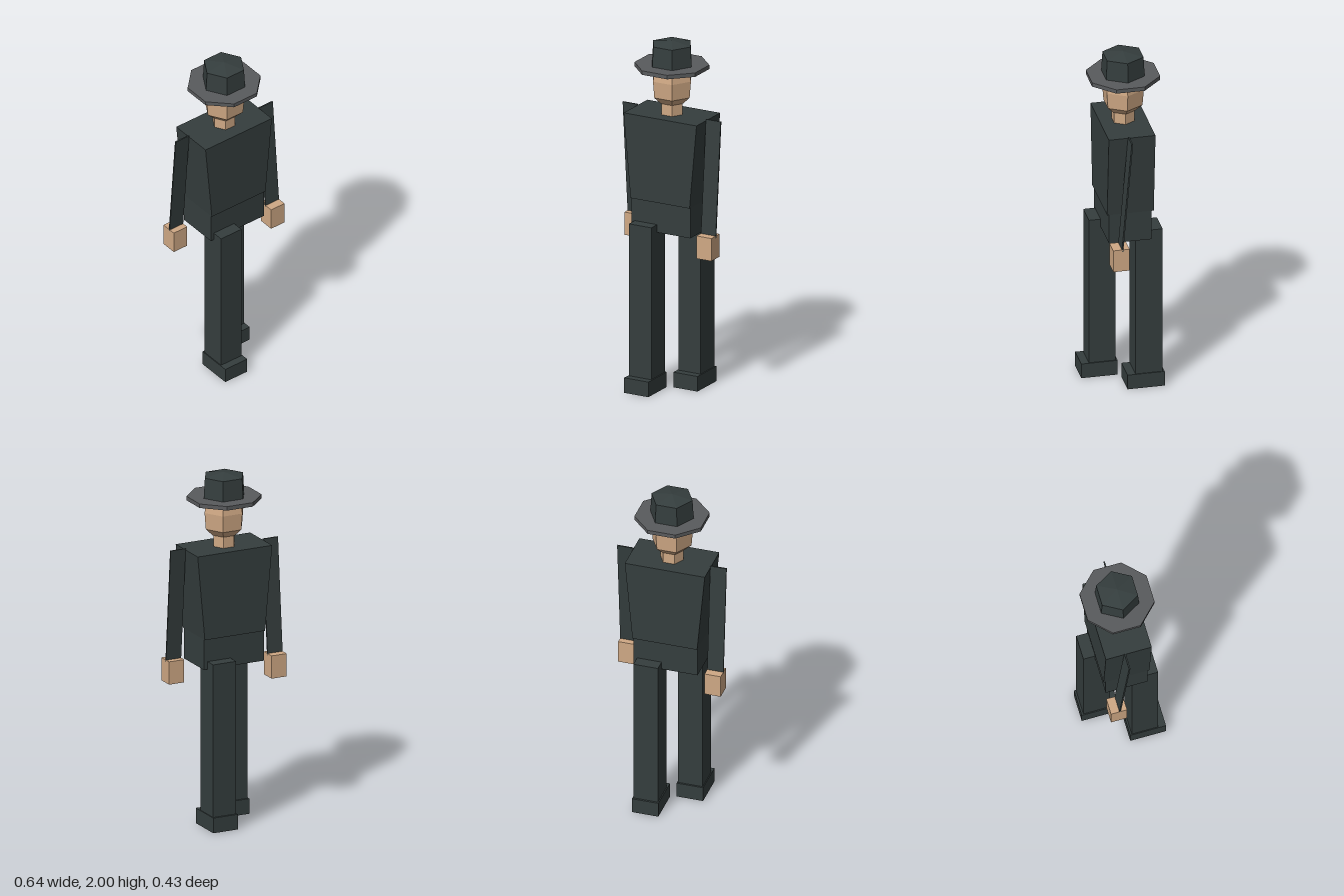
import * as THREE from 'three';

const mat = (name, color) => {
  const m = new THREE.MeshStandardMaterial({ color });
  m.name = name;
  return m;
};

export function createModel() {
  const cloth = mat('dark cloth', 0x353e3e);
  const skin = mat('skin', 0xd0a985);
  const felt = mat('grey felt', 0x595b5d);
  const root = new THREE.Group();
  root.name = 'manWithHat';

  const add = (name, geometry, material) => {
    const flat = geometry.index ? geometry.toNonIndexed() : geometry;
    flat.computeVertexNormals();
    const mesh = new THREE.Mesh(flat, material);
    mesh.name = name;
    root.add(mesh);
    return mesh;
  };

  // box from its minimum and maximum on each axis
  const block = (x0, x1, y0, y1, z0, z1) => {
    const g = new THREE.BoxGeometry(x1 - x0, y1 - y0, z1 - z0);
    return g.translate((x0 + x1) / 2, (y0 + y1) / 2, (z0 + z1) / 2);
  };

  // jacket narrows towards the waist
  const torso = block(-0.23, 0.23, 1.095, 1.58, -0.148, 0.114);
  const p = torso.attributes.position;
  for (let i = 0; i < p.count; i++) if (p.getY(i) < 1.3) p.setX(i, Math.sign(p.getX(i)) * 0.186);
  add('jacket', torso, cloth);
  add('hips', block(-0.185, 0.185, 0.92, 1.095, -0.136, 0.104), cloth);

  // legs in mid stride
  add('rightLeg', block(-0.165, -0.024, 0.02, 0.965, 0.019, 0.169), cloth);
  add('rightShoe', block(-0.17, -0.018, 0, 0.087, 0.009, 0.213), cloth);
  add('leftLeg', block(0.022, 0.163, 0.02, 0.965, -0.203, -0.05), cloth);
  add('leftShoe', block(0.016, 0.168, 0, 0.087, -0.214, -0.005), cloth);

  // thin sleeves swing against the legs
  const arm = (side, x0, x1, zTop, zBottom, zHand) => {
    const sleeve = block(x0, x1, 0.93, 1.587, -0.004, 0.004);
    const q = sleeve.attributes.position;
    for (let i = 0; i < q.count; i++) q.setZ(i, q.getZ(i) + (q.getY(i) > 1.2 ? zTop : zBottom));
    add(side + 'Sleeve', sleeve, cloth);
    add(side + 'Hand', block(x0, x1, 0.812, 0.943, zHand, zHand + 0.092), skin);
  };
  arm('left', 0.228, 0.321, 0.002, 0.058, 0.018);
  arm('right', -0.321, -0.228, -0.038, -0.094, -0.145);

  // faceted solids of revolution around the head axis
  const turned = (name, profile, sides, turn, material) => {
    const points = profile.map(([r, y]) => new THREE.Vector2(r, y));
    const g = new THREE.LatheGeometry(points, sides, turn);
    add(name, g.translate(0, 0, -0.017), material);
  };
  const hexTurn = Math.PI / 6;
  turned('neck', [[0.066, 1.57], [0.066, 1.66]], 6, hexTurn, skin);
  turned('head', [[0, 1.645], [0.07, 1.645], [0.112, 1.685], [0.12, 1.78], [0.105, 1.865], [0, 1.865]], 6, hexTurn, skin);
  turned('hatBrim', [[0, 1.842], [0.207, 1.842], [0.207, 1.865], [0, 1.865]], 8, Math.PI / 8, felt);
  turned('hatCrown', [[0.125, 1.864], [0.118, 1.98], [0, 2]], 6, hexTurn, cloth);
  return root;
}
